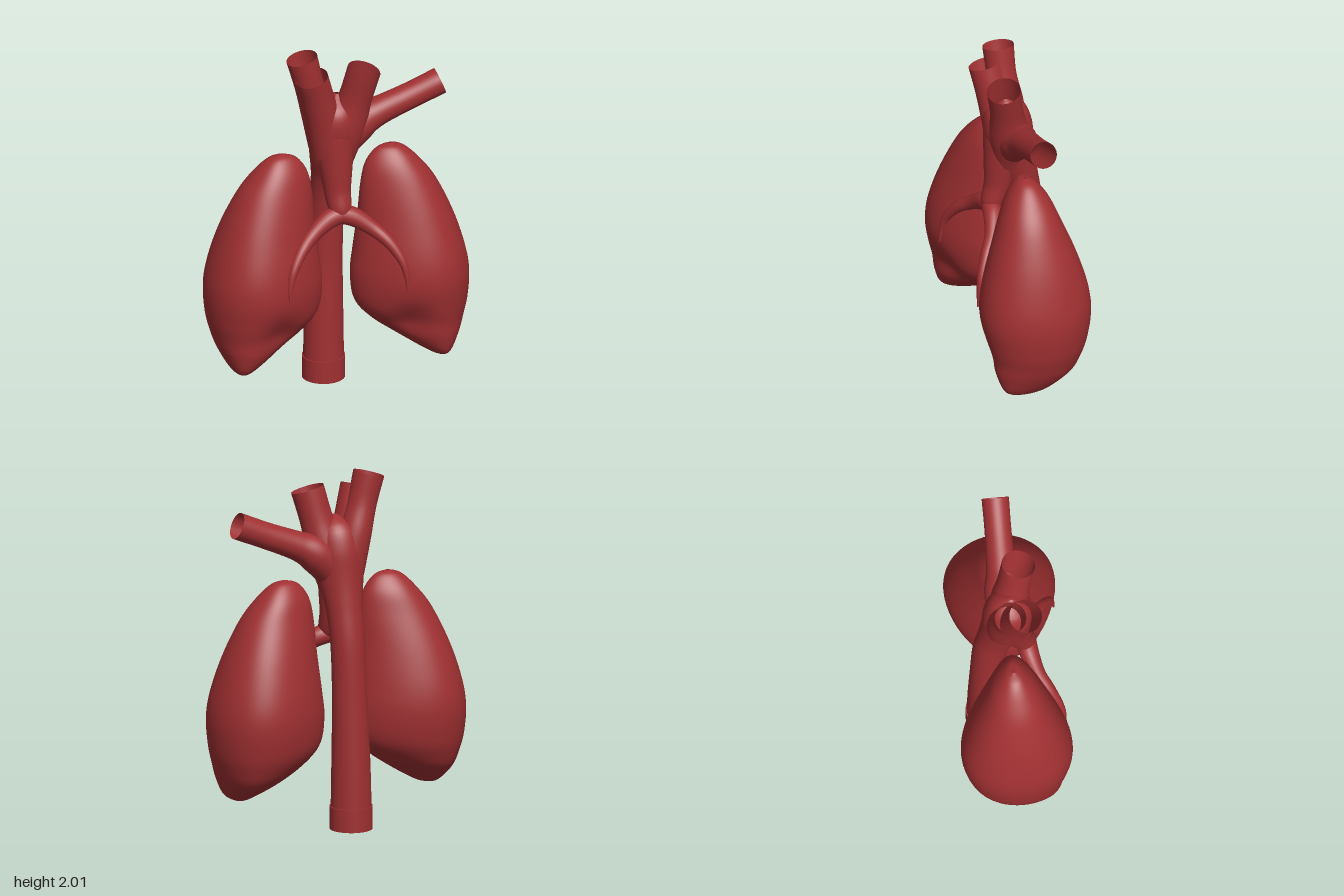
import * as THREE from 'three';

const V = (p) => new THREE.Vector3(p[0], p[1], p[2]);

// Closed-ring surface from a point function (row, angle); rows run along the part
function loft(rows, sides, point) {
  const pos = [], idx = [];
  for (let i = 0; i <= rows; i++) {
    for (let j = 0; j < sides; j++) {
      const p = point(i / rows, (j / sides) * Math.PI * 2);
      pos.push(p.x, p.y, p.z);
      if (i === rows) continue;
      const a = i * sides + j, b = i * sides + ((j + 1) % sides);
      idx.push(a, a + sides, b, b, a + sides, b + sides);
    }
  }
  const g = new THREE.BufferGeometry();
  g.setAttribute('position', new THREE.Float32BufferAttribute(pos, 3));
  g.setIndex(idx);
  g.computeVertexNormals();
  return g;
}

// Tapered vessel: stations are [x, y, z, radius]
function vessel(stations, rows = 48, sides = 32) {
  const curve = new THREE.CatmullRomCurve3(stations.map(V), false, 'catmullrom', 0.5);
  const radius = new THREE.CatmullRomCurve3(stations.map((s) => new THREE.Vector3(s[3], 0, 0)), false, 'catmullrom', 0.5);
  const frames = curve.computeFrenetFrames(rows, false);
  return loft(rows, sides, (u, a) => {
    const i = Math.round(u * rows), t = curve.getUtoTmapping(u);
    const r = radius.getPoint(t).x;
    return curve.getPoint(t)
      .addScaledVector(frames.normals[i], r * Math.cos(a))
      .addScaledVector(frames.binormals[i], -r * Math.sin(a));
  });
}

// Lung sections: [y, inner x, outer x, back z, front z]
const LUNG = [
  [0.175, 0.555, 0.565, 0.09, 0.1],
  [0.2, 0.49, 0.625, -0.04, 0.2],
  [0.3, 0.325, 0.685, -0.19, 0.245],
  [0.4, 0.185, 0.72, -0.255, 0.265],
  [0.5, 0.105, 0.742, -0.29, 0.29],
  [0.65, 0.085, 0.75, -0.31, 0.31],
  [0.8, 0.1, 0.725, -0.295, 0.295],
  [1.0, 0.125, 0.66, -0.24, 0.24],
  [1.2, 0.142, 0.565, -0.165, 0.17],
  [1.32, 0.17, 0.475, -0.115, 0.115],
  [1.4, 0.23, 0.39, -0.055, 0.055],
  [1.425, 0.305, 0.315, -0.005, 0.005],
];

function lung(side) {
  const make = (ix, iz) => new THREE.CatmullRomCurve3(
    LUNG.map((s) => new THREE.Vector3(s[ix], s[0], s[iz])), false, 'catmullrom', 0.5);
  const inner = make(1, 3), outer = make(2, 4);
  return loft(66, 56, (t, a) => {
    const p = inner.getPoint(t), q = outer.getPoint(t);
    const c = Math.cos(a), s = Math.sin(a * side);
    const x = (p.x + q.x) / 2 + ((q.x - p.x) / 2) * c;
    let z = (p.z + q.z) / 2 + ((q.z - p.z) / 2) * s * (1 + 0.22 * c) * 0.98;
    // shallow hollow low on the front
    if (s > 0) z -= 0.05 * s * Math.exp(-((x - 0.37) ** 2 + (p.y - 0.42) ** 2) / 0.012);
    return new THREE.Vector3(side * x, p.y, z);
  });
}

export function createModel() {
  const model = new THREE.Group();
  const red = new THREE.MeshStandardMaterial({ color: 0xa03032, side: THREE.DoubleSide });
  red.name = 'tissue red';
  const add = (name, geometry) => {
    const mesh = new THREE.Mesh(geometry, red);
    mesh.name = name;
    model.add(mesh);
    return mesh;
  };

  // Lungs
  add('leftLung', lung(1));
  add('rightLung', lung(-1));

  // Main vessel: lower column rising into the wide upper trunk
  add('mainTrunk', vessel([
    [-0.04, 0.12, -0.12, 0.114], [-0.038, 0.4, -0.12, 0.108], [-0.032, 0.75, -0.117, 0.098],
    [-0.025, 1.05, -0.105, 0.096], [-0.02, 1.25, -0.07, 0.103], [-0.017, 1.42, -0.025, 0.128],
    [-0.01, 1.58, 0, 0.138], [0, 1.7, 0.01, 0.105], [0, 1.77, 0.02, 0.01],
  ], 80, 40));

  // Base collar
  add('baseCollar', new THREE.CylinderGeometry(0.12, 0.12, 0.13, 40)).position.set(-0.04, 0.065, -0.12);

  // Front column leading down to the fork
  add('frontColumn', vessel([
    [0, 1.04, 0.1, 0.035], [0, 1.09, 0.095, 0.062], [-0.008, 1.2, 0.06, 0.076],
    [-0.012, 1.35, 0.04, 0.095], [-0.015, 1.55, 0.02, 0.115], [-0.01, 1.66, 0.02, 0.1],
  ]));

  // Forked branches over the lungs
  for (const s of [1, -1]) {
    add(s > 0 ? 'leftForkBranch' : 'rightForkBranch', vessel([
      [-0.02 * s, 1.075, 0.1, 0.055], [0.07 * s, 1.05, 0.112, 0.054], [0.17 * s, 0.985, 0.15, 0.042],
      [0.25 * s, 0.915, 0.208, 0.034], [0.31 * s, 0.82, 0.256, 0.025],
      [0.333 * s, 0.73, 0.276, 0.016], [0.338 * s, 0.64, 0.288, 0.005],
    ], 48, 20));
  }

  // Open upper vessels
  add('rightFrontVessel', vessel([
    [-0.045, 1.42, 0.01, 0.1], [-0.08, 1.6, 0.03, 0.098],
    [-0.12, 1.76, 0.055, 0.094], [-0.162, 1.905, 0.082, 0.093],
  ]));
  add('rightRearVessel', vessel([
    [-0.05, 1.45, -0.03, 0.1], [-0.1, 1.65, -0.03, 0.092],
    [-0.15, 1.82, -0.012, 0.083], [-0.195, 1.99, -0.006, 0.088],
  ]));
  add('leftFrontVessel', vessel([
    [0.005, 1.36, 0, 0.09], [0.05, 1.55, 0.01, 0.112],
    [0.1, 1.74, 0.04, 0.094], [0.142, 1.915, 0.072, 0.094],
  ]));
  add('leftSideVessel', vessel([
    [0.02, 1.45, -0.01, 0.1], [0.13, 1.56, -0.015, 0.105], [0.24, 1.617, -0.015, 0.083],
    [0.42, 1.69, -0.012, 0.075], [0.6, 1.765, -0.01, 0.076],
  ]));

  return model;
}
